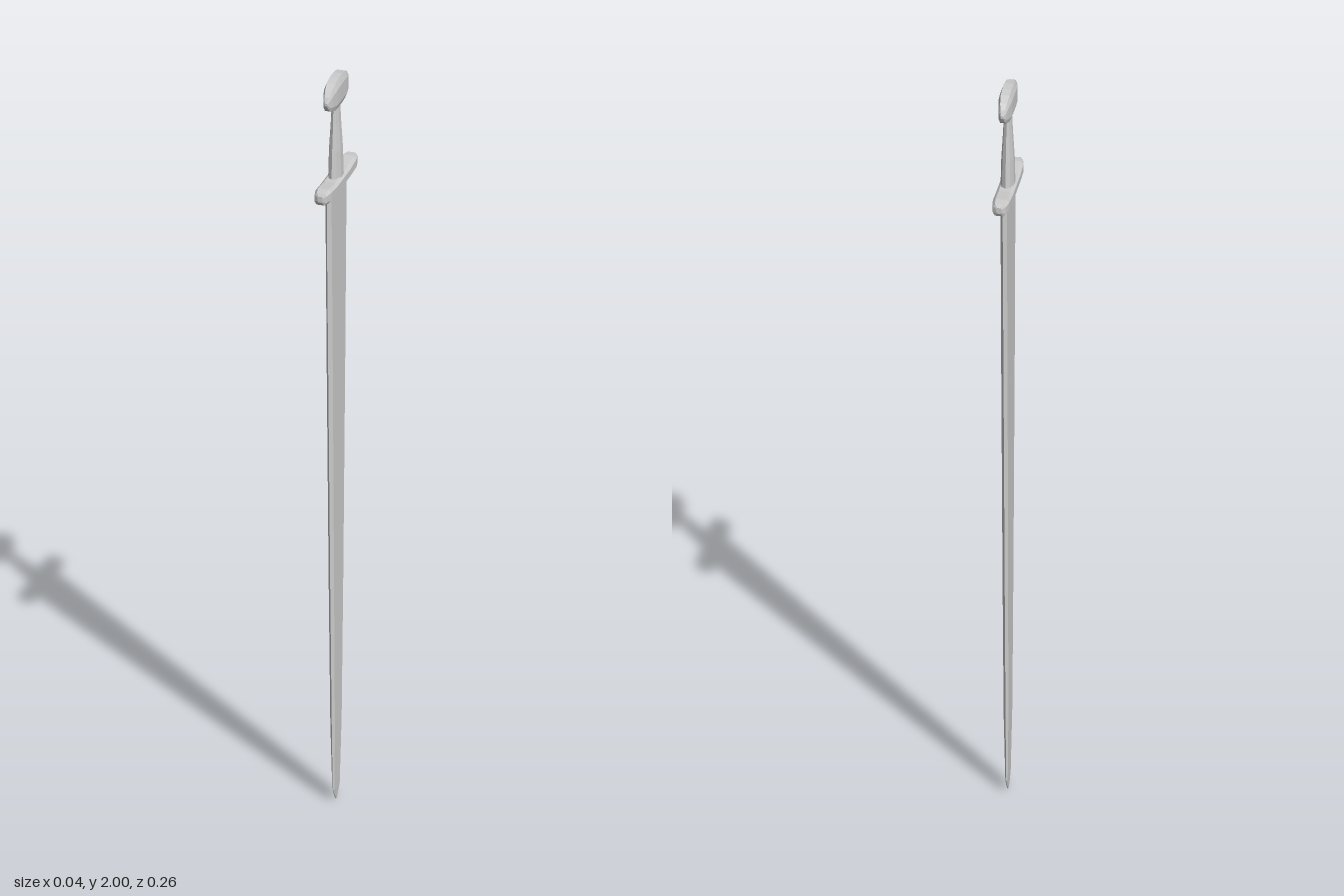
import * as THREE from 'three';

const material = new THREE.MeshStandardMaterial({ color: 0xcccccc, flatShading: true });

// Skin a list of equal-length rings (arrays of [x, y, z]) and close both ends.
function loft(name, rings) {
  const n = rings[0].length;
  const pos = rings.flat(2);
  const index = [];
  for (let r = 0; r < rings.length - 1; r++) {
    for (let i = 0; i < n; i++) {
      const j = (i + 1) % n;
      const a = r * n + i, b = r * n + j, c = a + n, d = b + n;
      index.push(a, c, b, b, c, d);
    }
  }
  const last = (rings.length - 1) * n;
  for (let i = 1; i < n - 1; i++) {
    index.push(0, i, i + 1);
    index.push(last, last + i + 1, last + i);
  }
  const geometry = new THREE.BufferGeometry();
  geometry.setAttribute('position', new THREE.Float32BufferAttribute(pos, 3));
  geometry.setIndex(index);
  const flat = geometry.toNonIndexed();
  flat.computeVertexNormals();
  const mesh = new THREE.Mesh(flat, material);
  mesh.name = name;
  return mesh;
}

// Blade section: sharp edges at +-z, bevels and a flat face on each side.
function bladeRing([y, w, t]) {
  const f = w * 0.8;
  return [[0, y, w], [t, y, f], [t, y, 0], [t, y, -f], [0, y, -w], [-t, y, -f], [-t, y, 0], [-t, y, f]];
}

// Oval grip section.
function gripRing([y, hx, hz]) {
  return Array.from({ length: 10 }, (_, i) => {
    const a = (i / 10) * Math.PI * 2;
    return [Math.sin(a) * hx, y, Math.cos(a) * hz];
  });
}

// Chamfered upright section used along z for the guard and pommel.
function barRing([z, hx, low, high]) {
  const c = (high - low) * 0.22, k = hx * 0.65;
  return [
    [k, low, z], [hx, low + c, z], [hx, high - c, z], [k, high, z],
    [-k, high, z], [-hx, high - c, z], [-hx, low + c, z], [-k, low, z],
  ];
}

// Repeat half of a bar's sections on the other side of z = 0.
function mirrored(half) {
  const back = half.map(([z, ...rest]) => [-z, ...rest]);
  return [...back, ...half.slice().reverse()];
}

export function createModel() {
  const sword = new THREE.Group();
  sword.name = 'sword';

  // Tapering blade, point down: [y, half width, half thickness]
  const blade = [
    [0, 0.003, 0.001], [0.012, 0.012, 0.002], [0.035, 0.026, 0.003], [0.22, 0.034, 0.006],
    [0.6, 0.046, 0.007], [1.2, 0.062, 0.008], [1.6, 0.073, 0.008], [1.71, 0.074, 0.008],
  ];
  sword.add(loft('blade', blade.map(bladeRing)));

  // Grip narrowing towards the pommel: [y, half depth, half width]
  const grip = [[1.71, 0.018, 0.037], [1.8, 0.016, 0.031], [1.87, 0.012, 0.024], [1.935, 0.009, 0.02]];
  sword.add(loft('grip', grip.map(gripRing)));

  // Crossguard with slightly swollen, rounded ends: [z, half depth, low, high]
  const guard = [
    [0.128, 0.007, 1.707, 1.723], [0.123, 0.016, 1.698, 1.731],
    [0.1, 0.021, 1.695, 1.733], [0.05, 0.022, 1.695, 1.728],
  ];
  sword.add(loft('crossguard', mirrored(guard).map(barRing)));

  // Lens-shaped pommel
  const pommel = [
    [0.081, 0.004, 1.951, 1.959], [0.074, 0.009, 1.938, 1.972],
    [0.062, 0.013, 1.929, 1.985], [0.04, 0.017, 1.922, 1.996], [0.015, 0.018, 1.921, 2],
  ];
  sword.add(loft('pommel', mirrored(pommel).map(barRing)));

  // Sections run counter to each other along y and z, so turn any inside-out part.
  for (const mesh of sword.children) {
    const p = mesh.geometry.attributes.position;
    const [a, b, c] = [0, 1, 2].map(() => new THREE.Vector3());
    let volume = 0;
    for (let i = 0; i < p.count; i += 3) {
      a.fromBufferAttribute(p, i);
      b.fromBufferAttribute(p, i + 1);
      c.fromBufferAttribute(p, i + 2);
      volume += a.dot(b.cross(c));
    }
    if (volume < 0) {
      for (let i = 0; i < p.count; i += 3) {
        b.fromBufferAttribute(p, i + 1);
        c.fromBufferAttribute(p, i + 2);
        p.setXYZ(i + 1, c.x, c.y, c.z);
        p.setXYZ(i + 2, b.x, b.y, b.z);
      }
      mesh.geometry.computeVertexNormals();
    }
  }
  return sword;
}
